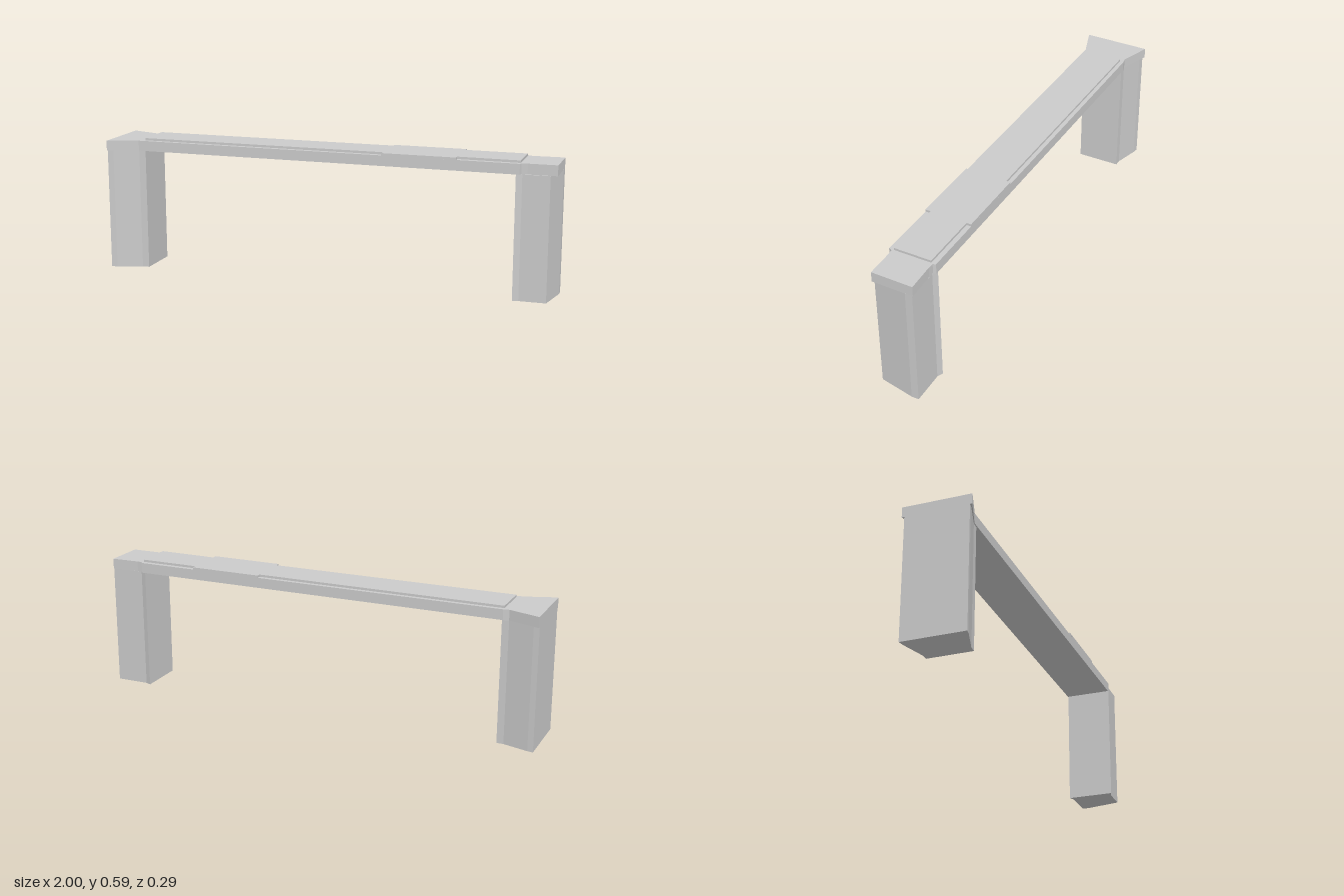
import * as THREE from 'three';

const material = new THREE.MeshStandardMaterial({ color: 0xcccccc, flatShading: true });

// Upright prism from a plan outline of [x, z] corners
function prism(name, plan, bottom, top) {
  const shape = new THREE.Shape(plan.map(([x, z]) => new THREE.Vector2(x, -z)));
  const geometry = new THREE.ExtrudeGeometry(shape, { depth: top - bottom, bevelEnabled: false });
  geometry.rotateX(-Math.PI / 2).translate(0, bottom, 0);
  const mesh = new THREE.Mesh(geometry, material);
  mesh.name = name;
  return mesh;
}

export function createModel() {
  const group = new THREE.Group();
  group.name = 'archway';

  // Flared leg at the wide end
  group.add(prism('wideLeg', [
    [-1, 0.137], [-0.975, 0.132], [-0.865, 0.097], [-0.835, 0.095],
    [-0.835, -0.1], [-0.865, -0.1], [-0.975, -0.132], [-1, -0.136],
  ], 0, 0.535));

  // Narrow leg with a skewed end face
  group.add(prism('narrowLeg', [
    [0.83, 0.12], [0.855, 0.11], [0.97, 0.109], [1, -0.045],
    [1, -0.077], [0.855, -0.077], [0.83, -0.088],
  ], 0, 0.535));

  // Lintel with the flared cap and the narrow cap in one outline
  group.add(prism('lintel', [
    [-1, 0.146], [-0.865, 0.1], [-0.84, 0.1], [0.845, 0.118],
    [0.85, 0.104], [0.875, 0.102], [0.998, 0.102], [1, -0.08],
    [0.875, -0.076], [0.85, -0.078], [0.845, -0.09], [-0.84, -0.106],
    [-0.865, -0.101], [-1, -0.147],
  ], 0.535, 0.58));

  // Raised top layer, full width only between the two cut-back stretches
  group.add(prism('raisedTop', [
    [-0.84, 0.081], [0.26, 0.09], [0.26, 0.112], [0.58, 0.115], [0.58, 0.092],
    [0.845, 0.096], [0.845, -0.069], [0.58, -0.072], [0.58, -0.0925],
    [0.26, -0.0955], [0.26, -0.077], [-0.84, -0.088],
  ], 0.58, 0.59));

  return group;
}
